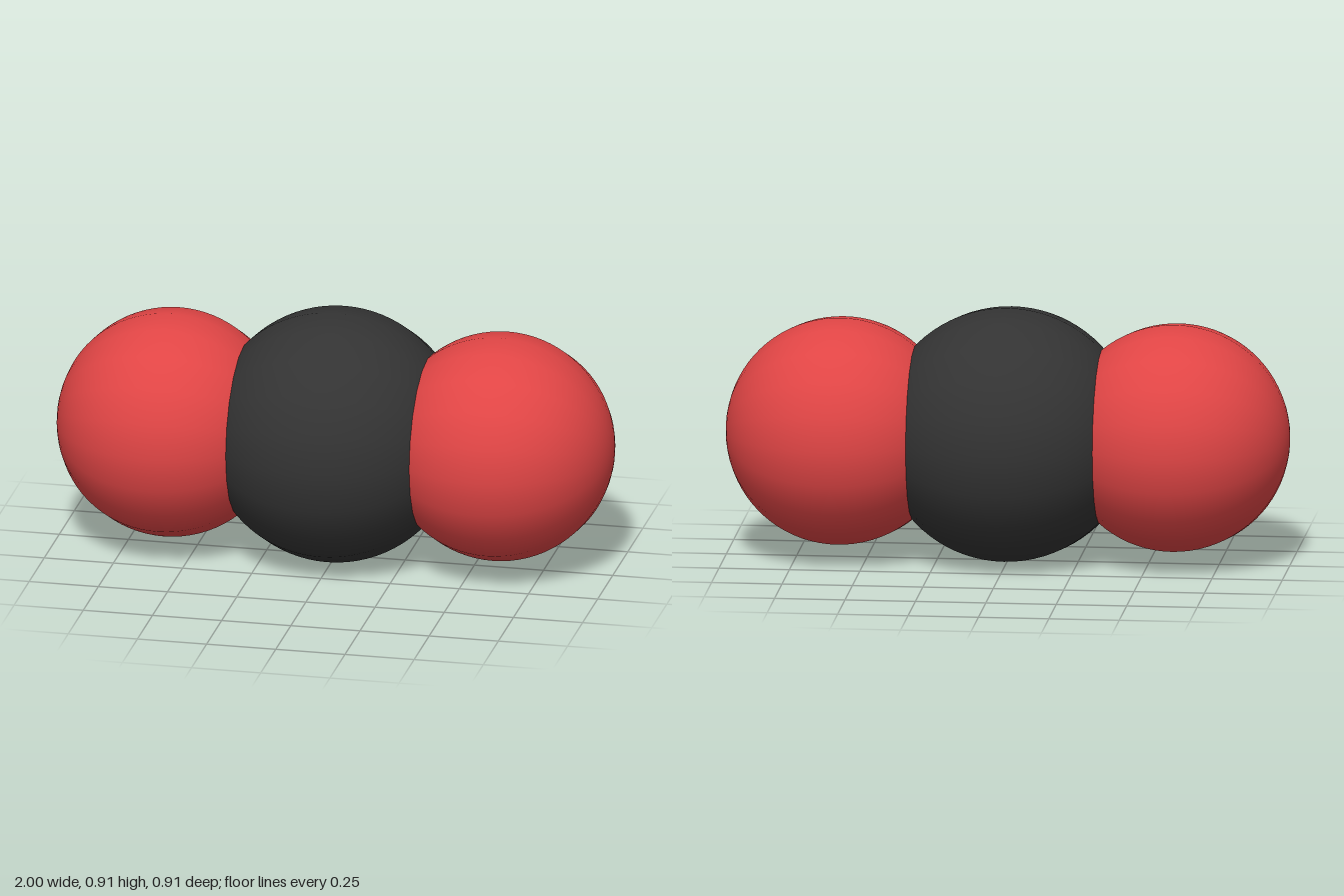
import * as THREE from 'three';

export function createModel() {
  const group = new THREE.Group();
  const centreY = 0.455;

  // Smooth ball with its poles along x: 20 sides around the axis
  function addBall(name, radius, x, color) {
    const geometry = new THREE.SphereGeometry(radius, 20, 40);
    geometry.rotateZ(Math.PI / 2);
    const ball = new THREE.Mesh(geometry, new THREE.MeshStandardMaterial({ color }));
    ball.name = name;
    ball.position.set(x, centreY, 0);
    group.add(ball);
  }

  // Large dark atom in the middle, a smaller red one sunk into each side
  addBall('centreAtom', 0.454, 0, 0x333333);
  addBall('leftAtom', 0.406, 0.594, 0xe04545);
  addBall('rightAtom', 0.406, -0.594, 0xe04545);

  return group;
}
